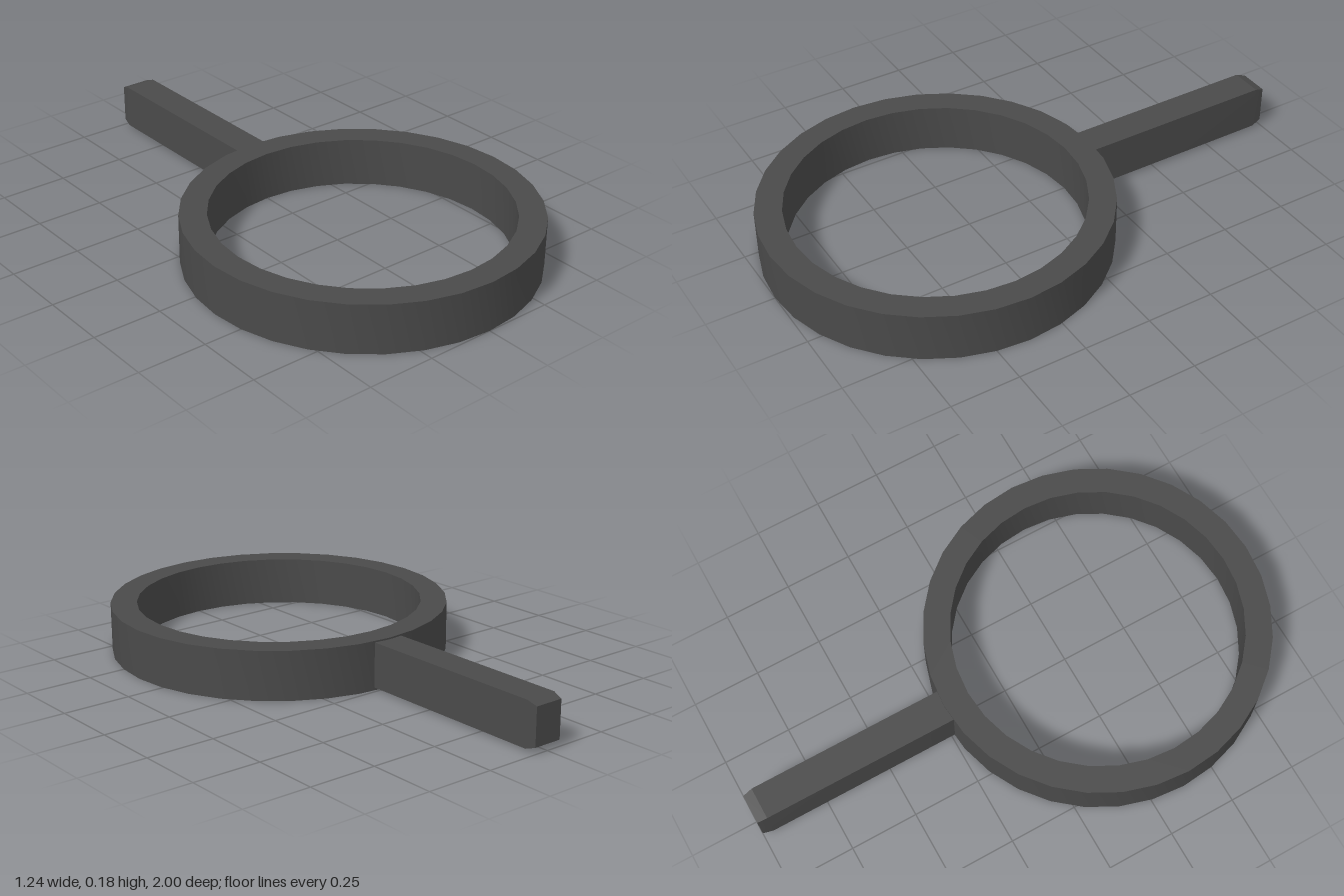
import * as THREE from 'three';
import { toCreasedNormals } from 'three/addons/utils/BufferGeometryUtils.js';

const HEIGHT = 0.18, OUTER = 0.622, INNER = 0.526, RING_Z = 0.378;

// Square-section band, turned around the vertical axis
function ringGeometry() {
  const profile = [
    [OUTER, 0], [OUTER, HEIGHT], [INNER, HEIGHT], [INNER, 0], [OUTER, 0],
  ].map(([r, y]) => new THREE.Vector2(r, y));
  return toCreasedNormals(new THREE.LatheGeometry(profile, 32), Math.PI / 6);
}

// Straight bar whose far end narrows slightly
function handleGeometry() {
  const stations = [-1, -0.963, -0.21];
  const geometry = new THREE.BoxGeometry(0.12, 0.164, 2, 1, 1, 2);
  const p = geometry.attributes.position;
  for (let i = 0; i < p.count; i++) {
    const row = Math.round(p.getZ(i)) + 1;
    const end = row === 0;
    p.setXYZ(i, p.getX(i) * (end ? 0.91 : 1), p.getY(i) * (end ? 0.84 : 1), stations[row]);
  }
  return toCreasedNormals(geometry, Math.PI / 12);
}

export function createModel() {
  const model = new THREE.Group();
  model.name = 'ringWithHandle';
  const material = new THREE.MeshStandardMaterial({ color: 0x4a4a4a });

  const ring = new THREE.Mesh(ringGeometry(), material);
  ring.name = 'ring';
  ring.position.z = RING_Z;

  const handle = new THREE.Mesh(handleGeometry(), material);
  handle.name = 'handle';
  handle.position.y = HEIGHT / 2 + 0.002;

  model.add(ring, handle);
  return model;
}
